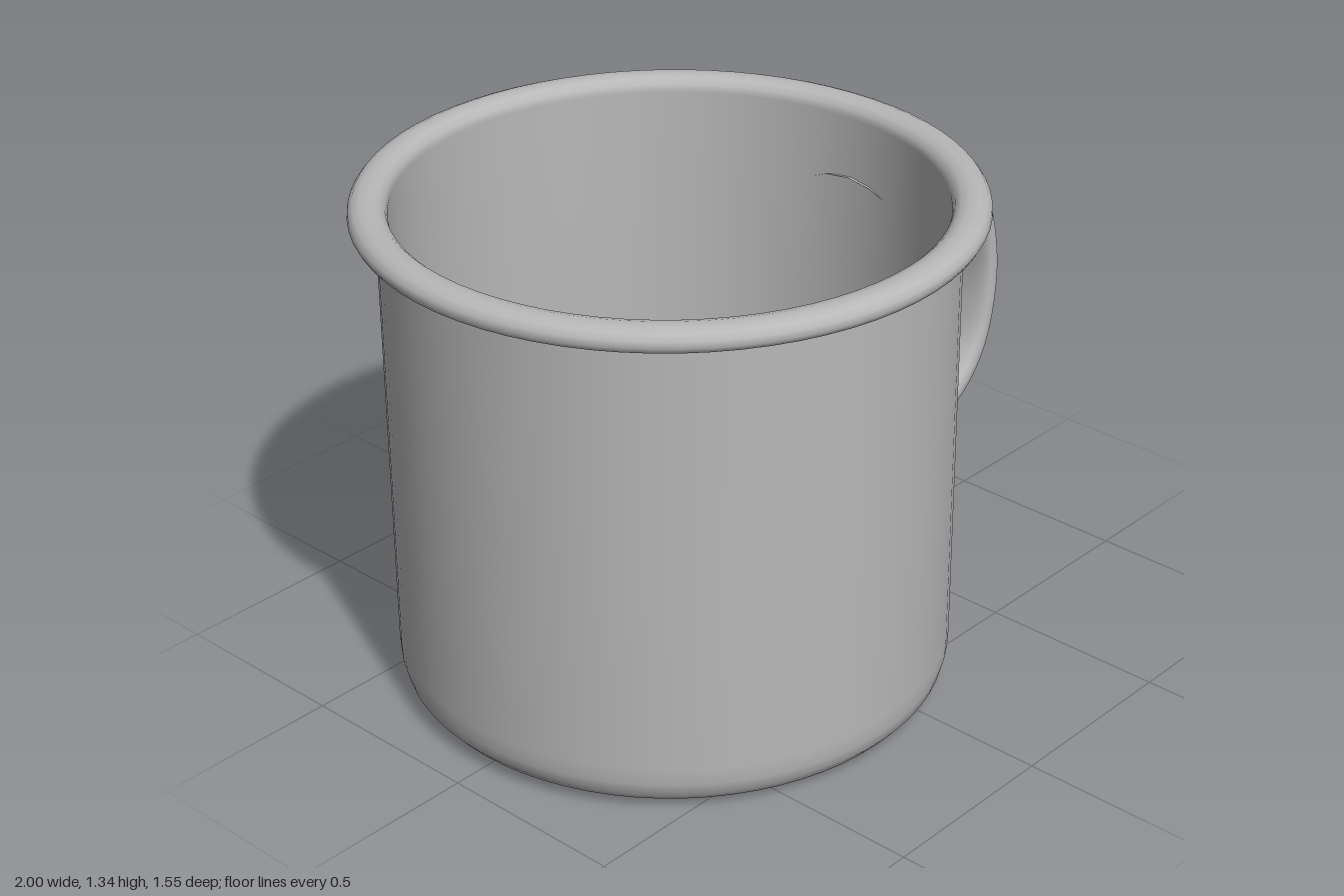
import * as THREE from 'three';

const CUP_X = -0.22; // the cup sits off-centre to leave room for the handle

// Cup wall, rolled rim, floor and recessed foot as one closed profile
function cupGeometry() {
  const profile = [
    [0, 0.025], [0.53, 0.025], [0.545, 0.02], [0.555, 0.004], [0.565, 0], [0.61, 0],
    [0.645, 0.009], [0.68, 0.026], [0.7, 0.05], [0.709, 0.085], [0.711, 0.13],
    [0.711, 0.6], [0.711, 1.26], [0.714, 1.277],
    [0.73, 1.281], [0.755, 1.279], [0.769, 1.284], [0.777, 1.298], [0.775, 1.314],
    [0.764, 1.329], [0.745, 1.337], [0.72, 1.338], [0.7, 1.332], [0.686, 1.319], [0.68, 1.3],
    [0.68, 0.7], [0.68, 0.15], [0.674, 0.105], [0.655, 0.073], [0.62, 0.054],
    [0.57, 0.048], [0, 0.048],
  ].map(([r, y]) => new THREE.Vector2(r, y));
  return new THREE.LatheGeometry(profile, 72);
}

// Rounded strap swept along a curve, flaring where it meets the wall
function handleGeometry() {
  // x, y, half thickness, half width, droop of the side edges
  const stations = [
    [0.465, 1.062, 0.078, 0.175, 0.05],
    [0.53, 1.077, 0.055, 0.13, 0.025],
    [0.62, 1.088, 0.044, 0.106, 0.005],
    [0.73, 1.083, 0.04, 0.1, 0],
    [0.84, 1.035, 0.036, 0.1, 0],
    [0.925, 0.92, 0.033, 0.1, 0],
    [0.966, 0.73, 0.033, 0.1, 0],
    [0.94, 0.54, 0.034, 0.1, 0],
    [0.865, 0.42, 0.037, 0.1, 0],
    [0.75, 0.345, 0.037, 0.1, 0],
    [0.62, 0.303, 0.036, 0.102, 0],
    [0.53, 0.278, 0.036, 0.117, -0.004],
    [0.465, 0.265, 0.038, 0.15, -0.01],
  ];
  const path = new THREE.CatmullRomCurve3(
    stations.map((s) => new THREE.Vector3(s[0], s[1], 0)), false, 'catmullrom');
  const sizes = new THREE.CatmullRomCurve3(
    stations.map((s) => new THREE.Vector3(s[2], s[3], s[4])), false, 'catmullrom');
  const rings = 48, sides = 24;
  const positions = [], index = [];
  const soften = (v) => Math.sign(v) * Math.pow(Math.abs(v), 0.65);

  for (let i = 0; i <= rings; i++) {
    const c = path.getPoint(i / rings);
    const t = path.getTangent(i / rings);
    const s = sizes.getPoint(i / rings);
    for (let j = 0; j < sides; j++) {
      const a = (j / sides) * Math.PI * 2;
      const n = soften(Math.cos(a)) * s.x;
      const b = soften(Math.sin(a));
      positions.push(c.x - t.y * n, c.y + t.x * n - s.z * b * b, b * s.y);
      if (i < rings) {
        const p = i * sides + j, q = i * sides + ((j + 1) % sides);
        index.push(p, q, p + sides, q, q + sides, p + sides);
      }
    }
  }
  const geometry = new THREE.BufferGeometry();
  geometry.setAttribute('position', new THREE.Float32BufferAttribute(positions, 3));
  geometry.setIndex(index);
  geometry.computeVertexNormals();
  return geometry;
}

export function createModel() {
  const model = new THREE.Group();
  model.name = 'mug';
  const enamel = new THREE.MeshStandardMaterial({ color: 0xb8b8b8 });
  enamel.name = 'grey enamel';

  const cup = new THREE.Mesh(cupGeometry(), enamel);
  cup.name = 'cup';
  cup.position.x = CUP_X;

  const handle = new THREE.Mesh(handleGeometry(), enamel);
  handle.name = 'handle';

  model.add(cup, handle);
  return model;
}
